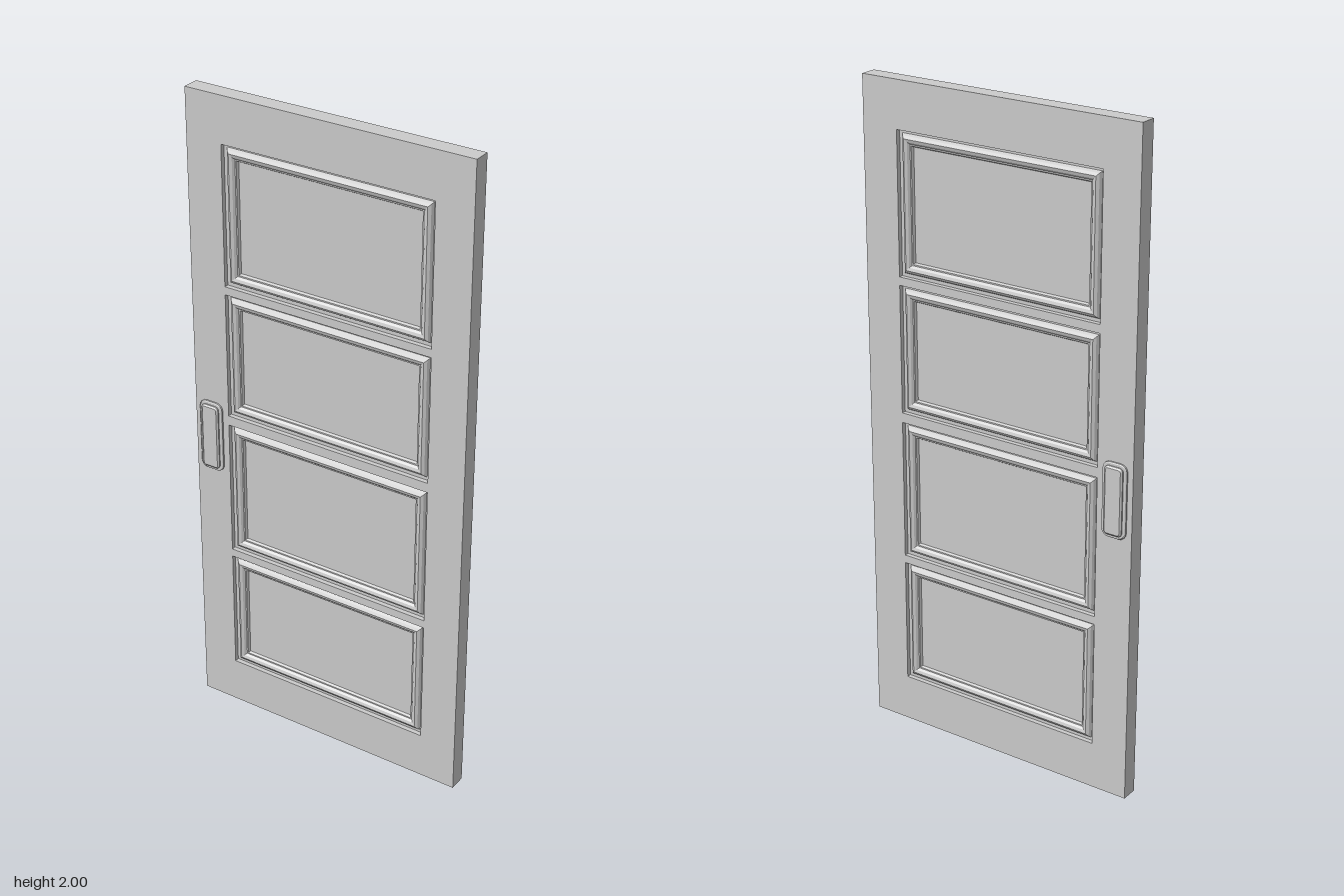
import * as THREE from 'three';

const material = new THREE.MeshStandardMaterial({ color: 0xcccccc, flatShading: true });
const W = 0.9, H = 2, HALF = 0.026;
const PANEL_W = 0.67;
const PANELS = [[0.145, 0.535], [0.56, 0.99], [1.02, 1.41], [1.435, 1.86]]; // bottom, top

// Counter-clockwise rectangle loop with corners rounded in `seg` steps
function rectLoop(w, h, r, seg) {
  const pts = [];
  for (let q = 0; q < 4; q++) {
    const sx = q === 0 || q === 3 ? 1 : -1, sy = q < 2 ? 1 : -1;
    for (let i = 0; i <= seg; i++) {
      const a = (q + (seg ? i / seg : 0)) * Math.PI / 2;
      pts.push([
        sx * (w / 2 - r) + r * Math.cos(a),
        sy * (h / 2 - r) + r * Math.sin(a),
      ]);
      if (!r) break;
    }
  }
  return pts;
}

// Skin a stepped rectangle from [inset, z] pairs, closing the last ring
function steppedRect(w, h, profile, r = 0, seg = 0) {
  const rings = profile.map(([d, z]) =>
    rectLoop(w - 2 * d, h - 2 * d, r ? Math.max(r - d, 0.004) : 0, seg).map(([x, y]) => [x, y, z]));
  const pos = [];
  const n = rings[0].length;
  for (let k = 0; k < rings.length; k++) {
    for (let j = 0; j < n; j++) {
      const a = rings[k][j], b = rings[k][(j + 1) % n];
      if (k === rings.length - 1) {
        pos.push(...a, ...b, 0, 0, a[2]);
      } else {
        const c = rings[k + 1][(j + 1) % n], d = rings[k + 1][j];
        pos.push(...a, ...b, ...c, ...a, ...c, ...d);
      }
    }
  }
  const g = new THREE.BufferGeometry();
  g.setAttribute('position', new THREE.Float32BufferAttribute(pos, 3));
  g.computeVertexNormals();
  return g;
}

function add(parent, name, geometry, x, y) {
  const mesh = new THREE.Mesh(geometry, material);
  mesh.name = name;
  mesh.position.set(x, y, 0);
  parent.add(mesh);
}

export function createModel() {
  const door = new THREE.Group();
  door.name = 'door';

  // Stiles and rails: one slab with four openings
  const outline = new THREE.Shape([[-W / 2, 0], [W / 2, 0], [W / 2, H], [-W / 2, H]]
    .map(([x, y]) => new THREE.Vector2(x, y)));
  for (const [y0, y1] of PANELS) {
    const hole = rectLoop(PANEL_W, y1 - y0, 0, 0)
      .map(([x, y]) => new THREE.Vector2(x, y + (y0 + y1) / 2));
    outline.holes.push(new THREE.Path(hole.reverse()));
  }
  const slab = new THREE.ExtrudeGeometry(outline, { depth: 2 * HALF, bevelEnabled: false });
  slab.translate(0, 0, -HALF);
  add(door, 'frame', slab, 0, 0);

  // Bead moulding running from the groove down to the recessed field
  const bead = [[0, 0.012], [0.010, 0.012], [0.015, 0.020], [0.023, 0.025],
    [0.032, 0.022], [0.038, 0.016], [0.042, 0.016], [0.046, 0.009]];
  // Handle plate: thin base, then a bevelled raised pad
  const plate = [[0, HALF], [0, 0.031], [0.003, 0.033], [0.010, 0.033],
    [0.010, 0.037], [0.015, 0.041]];

  for (const side of ['front', 'back']) {
    const face = new THREE.Group();
    face.name = side + 'Face';
    const s = side === 'front' ? 1 : -1;
    if (s < 0) face.rotation.y = Math.PI;
    PANELS.forEach(([y0, y1], i) =>
      add(face, 'panel' + (i + 1), steppedRect(PANEL_W, y1 - y0, bead), 0, (y0 + y1) / 2));
    add(face, 'handlePlate', steppedRect(0.078, 0.226, plate, 0.022, 4), -0.394 * s, 0.938);
    door.add(face);
  }
  return door;
}
